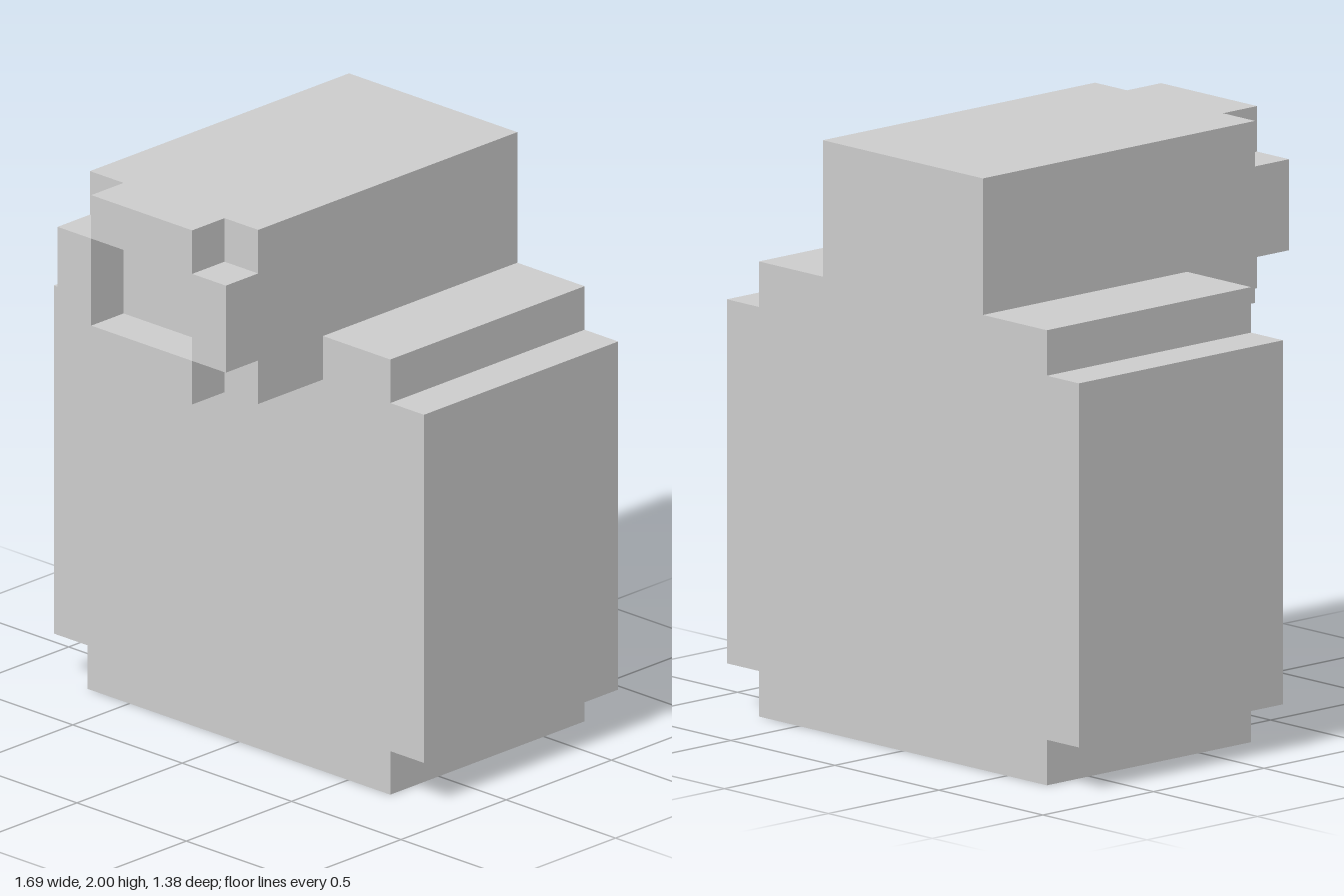
import * as THREE from 'three';

const U = 2 / 13; // one block unit; the model is 13 units tall
const material = new THREE.MeshStandardMaterial({ color: 0xcccccc, flatShading: true });

// Prism from an outline in block units, running from z0 to z1
function prism(points, z0, z1) {
  const shape = new THREE.Shape(points.map(([x, y]) => new THREE.Vector2(x, y)));
  const geometry = new THREE.ExtrudeGeometry(shape, { depth: z1 - z0, bevelEnabled: false });
  return geometry.translate(0, 0, z0);
}

// Box between two corners in block units
function block(x0, x1, y0, y1, z0, z1) {
  return new THREE.BoxGeometry(x1 - x0, y1 - y0, z1 - z0)
    .translate((x0 + x1) / 2, (y0 + y1) / 2, (z0 + z1) / 2);
}

export function createModel() {
  const model = new THREE.Group();
  model.name = 'blockModel';

  function add(name, geometry, parent = model) {
    const mesh = new THREE.Mesh(geometry.scale(U, U, U), material);
    mesh.name = name;
    parent.add(mesh);
  }

  // Body with four notched corners
  add('body', prism([
    [-4.5, 0], [4.5, 0], [4.5, 1], [5.5, 1], [5.5, 9], [4.5, 9],
    [4.5, 10], [-4.5, 10], [-4.5, 9], [-5.5, 9], [-5.5, 1], [-4.5, 1],
  ], -4.5, 1.5));

  // Barrel along the top, dropping one unit lower where it overhangs the body
  add('barrel', prism([
    [-4.5, 10], [1.5, 10], [1.5, 9], [3.5, 9], [3.5, 13], [-4.5, 13],
  ], -2.5, 2.5).rotateY(-Math.PI / 2));

  // Four bars around the square recess at the front of the barrel
  const rim = new THREE.Group();
  rim.name = 'rim';
  model.add(rim);
  add('rimTop', block(-1.5, 1.5, 12, 13, 3.5, 4.5), rim);
  add('rimBottom', block(-1.5, 1.5, 9, 10, 3.5, 4.5), rim);
  add('rimLeft', block(1.5, 2.5, 10, 12, 3.5, 4.5), rim);
  add('rimRight', block(-2.5, -1.5, 10, 12, 3.5, 4.5), rim);

  return model;
}
